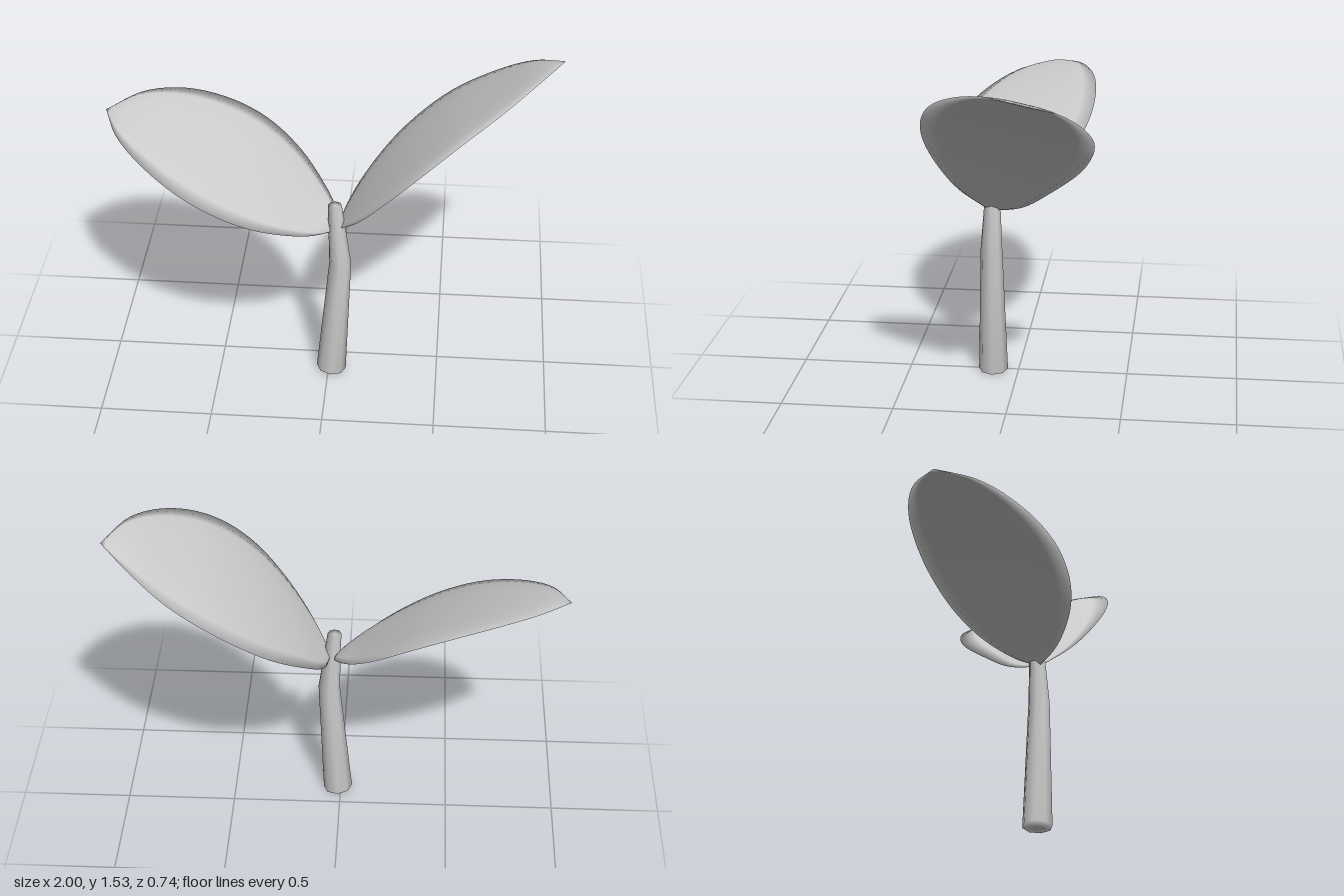
import * as THREE from 'three';
import { mergeVertices } from 'three/addons/utils/BufferGeometryUtils.js';

const grey = new THREE.MeshStandardMaterial({ color: 0xcccccc });
grey.name = 'paleGrey';

// Thin closed leaf between two edge curves that share a root and a tip.
// The rim is shared by both faces, so the smooth normals roll over the edge.
function makeLeaf(name, edgeA, edgeB) {
  const [a, b] = [edgeA, edgeB].map(
    (pts) => new THREE.CatmullRomCurve3(pts.map((p) => new THREE.Vector3(...p))));
  const rows = 36, across = [0, 0.1, 0.25, 0.5, 0.75, 0.9, 1];
  const middle = (u) => a.getPoint(u).lerp(b.getPoint(u), 0.5);
  const pos = [], index = [];
  for (const [offset, isTop] of [[0.016, true], [-0.006, false]]) {
    const start = pos.length / 3;
    for (let i = 0; i <= rows; i++) {
      const u = i / rows;
      const p = a.getPoint(u), q = b.getPoint(u);
      const along = middle(Math.min(1, u + 0.01)).sub(middle(Math.max(0, u - 0.01)));
      const normal = along.cross(q.clone().sub(p)).normalize();
      const swell = offset * Math.sqrt(Math.max(0, Math.sin(Math.PI * u)));
      across.forEach((v, j) => {
        const r = p.clone().lerp(q, v).addScaledVector(normal, swell * (1 - (2 * v - 1) ** 4));
        pos.push(r.x, r.y, r.z);
        if (i < rows && j < across.length - 1) {
          const k = start + i * across.length + j, n = k + across.length;
          if (isTop) index.push(k, n, k + 1, n, n + 1, k + 1);
          else index.push(k, k + 1, n, n, k + 1, n + 1);
        }
      });
    }
  }
  let geo = new THREE.BufferGeometry();
  geo.setAttribute('position', new THREE.Float32BufferAttribute(pos, 3));
  geo.setIndex(index);
  geo = mergeVertices(geo, 1e-5);
  geo.computeVertexNormals();
  const mesh = new THREE.Mesh(geo, grey);
  mesh.name = name;
  return mesh;
}

// Tapered stem with one bend: each ring is [x, y, z, radius, tilt]
function makeStem() {
  const rings = [
    [0.013, 0.007, 0.115, 0.067, -0.1],
    [0.053, 0.6, 0.117, 0.049, 0],
    [0.028, 0.9, 0.113, 0.031, 0],
  ];
  let geo = new THREE.CylinderGeometry(1, 1, 2, 8, 2);
  const p = geo.attributes.position;
  for (let i = 0; i < p.count; i++) {
    const [x, y, z, r, tilt] = rings[Math.round(p.getY(i)) + 1];
    const dx = p.getX(i) * r;
    p.setXYZ(i, x + dx, y + dx * tilt, z + p.getZ(i) * r);
  }
  geo.deleteAttribute('uv');
  geo.deleteAttribute('normal');
  geo = mergeVertices(geo, 1e-5);
  geo.computeVertexNormals();
  const mesh = new THREE.Mesh(geo, grey);
  mesh.name = 'stem';
  return mesh;
}

export function createModel() {
  const model = new THREE.Group();
  model.name = 'sprout';
  model.add(makeStem());

  // Steeper leaf on the left: front edge high, rear edge low
  model.add(makeLeaf('leftLeaf',
    [[0.045, 0.78, 0.12], [0.14, 0.905, 0.25], [0.27, 1.07, 0.335], [0.41, 1.225, 0.367],
      [0.565, 1.36, 0.335], [0.735, 1.465, 0.235], [0.895, 1.529, 0.06], [1, 1.52, -0.145]],
    [[0.045, 0.78, 0.12], [0.065, 0.805, -0.02], [0.15, 0.91, -0.165], [0.3, 1.055, -0.305],
      [0.5, 1.215, -0.373], [0.7, 1.345, -0.353], [0.87, 1.455, -0.265], [1, 1.52, -0.145]]));

  // Lower leaf on the right: rear edge high, front edge low
  model.add(makeLeaf('rightLeaf',
    [[0.015, 0.77, 0.13], [0.025, 0.82, 0.02], [-0.05, 0.895, -0.11], [-0.16, 0.993, -0.215],
      [-0.31, 1.1, -0.283], [-0.48, 1.18, -0.305], [-0.67, 1.235, -0.285], [-0.85, 1.253, -0.212],
      [-1, 1.23, -0.075]],
    [[0.015, 0.77, 0.13], [-0.07, 0.803, 0.22], [-0.19, 0.855, 0.3], [-0.32, 0.912, 0.352],
      [-0.46, 0.977, 0.368], [-0.62, 1.052, 0.338], [-0.79, 1.132, 0.24], [-0.925, 1.195, 0.1],
      [-1, 1.23, -0.075]]));
  return model;
}
